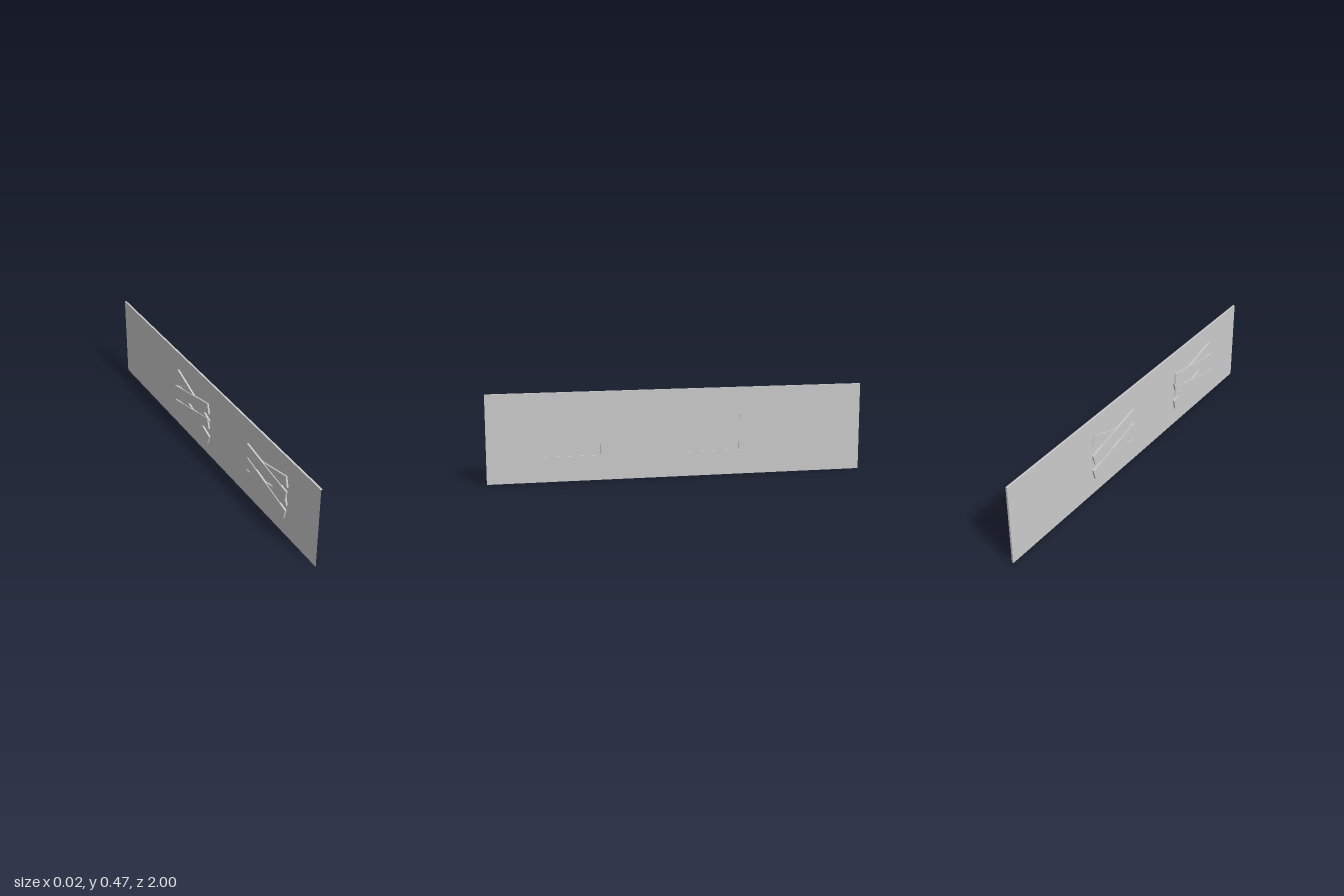
import * as THREE from 'three';

const material = new THREE.MeshStandardMaterial({ color: 0xcccccc, flatShading: true });
const paneMaterial = new THREE.MeshStandardMaterial({ color: 0xcccccc, side: THREE.DoubleSide });

const HEIGHT = 0.468, INNER = 0.002, DEPTH = 0.01;
const SILL = 0.132, LINTEL = 0.322, WINDOW_WIDTH = 0.292;
const windowCentres = [0.559, -0.184];

function rectangle(target, x0, y0, x1, y1) {
  target.moveTo(x0, y0);
  target.lineTo(x1, y0);
  target.lineTo(x1, y1);
  target.lineTo(x0, y1);
  target.closePath();
  return target;
}

// Wall slab along z with two window openings; its +z end is left open
function wallGeometry() {
  const shape = rectangle(new THREE.Shape(), -1, 0, 1, HEIGHT);
  for (const z of windowCentres) {
    const half = WINDOW_WIDTH / 2;
    shape.holes.push(rectangle(new THREE.Path(), -z - half, SILL, -z + half, LINTEL));
  }
  const geometry = new THREE.ExtrudeGeometry(shape, { depth: DEPTH, bevelEnabled: false });
  geometry.rotateY(Math.PI / 2).translate(INNER, 0, 0);
  const p = geometry.attributes.position;
  const kept = [];
  for (let i = 0; i < p.count; i += 3) {
    const isEnd = [0, 1, 2].every((k) => p.getZ(i + k) > 0.999);
    if (!isEnd) kept.push(i, i + 1, i + 2);
  }
  geometry.clearGroups();
  geometry.setIndex(kept);
  return geometry;
}

// Planks nailed over each window: layer (0 = against the wall), y, z, rise in degrees towards +z
const planks = [
  [0, 0.273, -0.187, -20.7],
  [0, 0.168, -0.187, -20.7],
  [1, 0.267, -0.187, 14],
  [1, 0.173, -0.187, 14],
  [0, 0.29, 0.557, 14],
  [0, 0.179, 0.557, 14],
  [1, 0.28, 0.557, -9],
  [1, 0.18, 0.557, -14],
];

export function createModel() {
  const group = new THREE.Group();

  const wall = new THREE.Mesh(wallGeometry(), material);
  wall.name = 'wall';
  group.add(wall);

  // Thin panes halfway through the wall
  for (const z of windowCentres) {
    const pane = new THREE.Mesh(new THREE.PlaneGeometry(WINDOW_WIDTH, LINTEL - SILL), paneMaterial);
    pane.name = 'windowPane';
    pane.rotation.y = Math.PI / 2;
    pane.position.set(INNER + DEPTH / 2, (SILL + LINTEL) / 2, z);
    group.add(pane);
  }

  const plankGeometry = new THREE.BoxGeometry(0.009, 0.062, 0.366);
  for (const [layer, y, z, rise] of planks) {
    const plank = new THREE.Mesh(plankGeometry, material);
    plank.name = 'plank';
    plank.position.set(-0.0028 - layer * 0.0047, y, z);
    plank.rotation.x = -THREE.MathUtils.degToRad(rise);
    group.add(plank);
  }
  return group;
}
